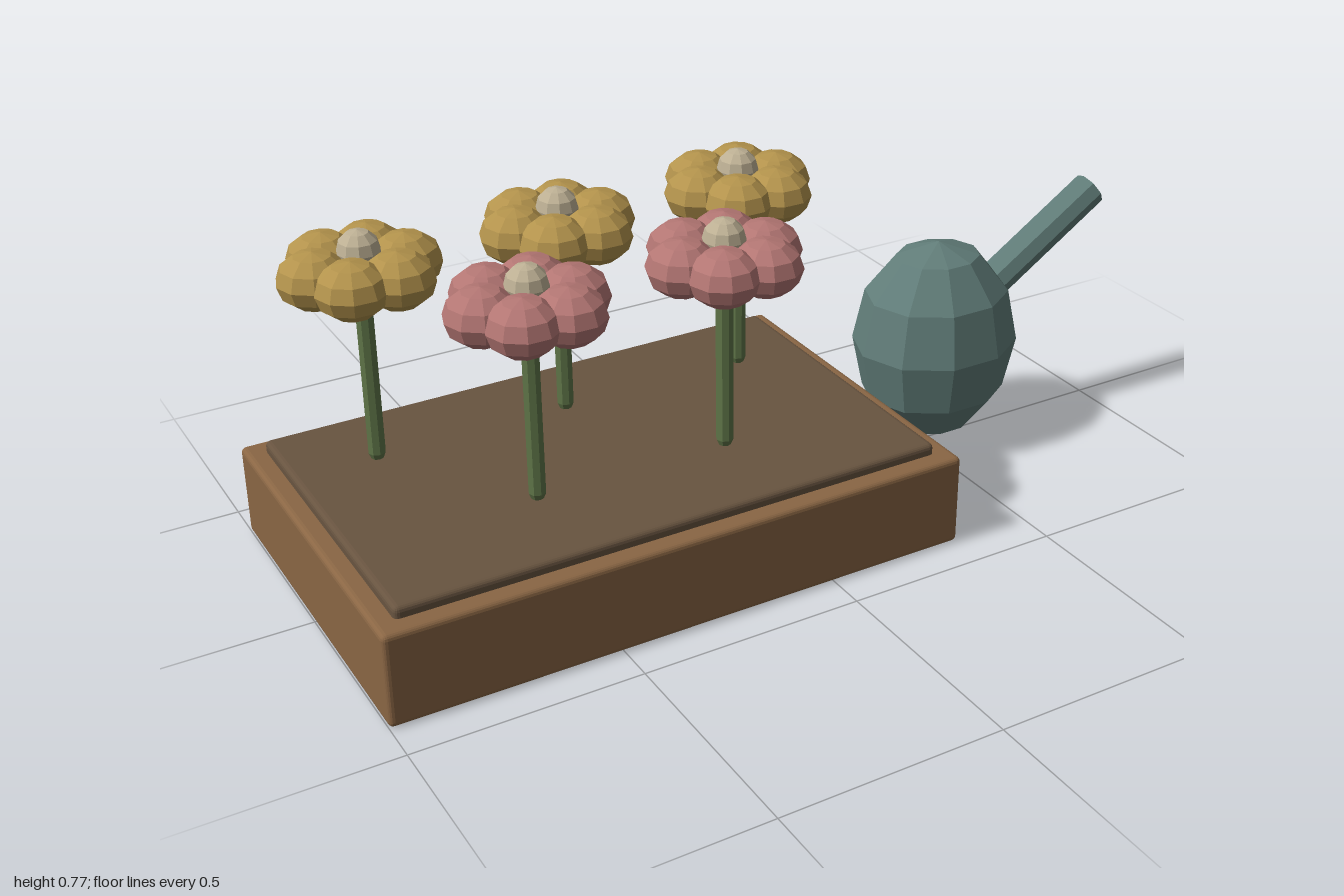
import * as THREE from 'three';
import { RoundedBoxGeometry } from 'three/addons/geometries/RoundedBoxGeometry.js';

const paint = (color) => new THREE.MeshStandardMaterial({ color, flatShading: true });
const wood = paint(0x8a6644), earth = paint(0x685440), green = paint(0x5f7548);
const gold = paint(0xb3934c), pink = paint(0xb37673), cream = paint(0xbdb094), metal = paint(0x617d79);

function add(parent, name, geometry, material, x, y, z) {
  const mesh = new THREE.Mesh(geometry, material);
  mesh.name = name;
  mesh.position.set(x, y, z);
  parent.add(mesh);
  return mesh;
}

// Stem, ring of six squashed petals and a round centre
const stemGeometry = new THREE.CapsuleGeometry(0.019, 0.41, 2, 8);
const petalGeometry = new THREE.SphereGeometry(1, 10, 6).scale(0.078, 0.061, 0.078);
const centreGeometry = new THREE.SphereGeometry(0.046, 10, 6);

function createFlower(petalMaterial, x, z) {
  const flower = new THREE.Group();
  flower.name = 'flower';
  flower.position.set(x, 0, z);
  add(flower, 'stem', stemGeometry, green, 0, 0.465, 0);
  for (let i = 0; i < 6; i++) {
    const a = (i * Math.PI) / 3;
    add(flower, 'petal', petalGeometry, petalMaterial, Math.cos(a) * 0.097, 0.68, Math.sin(a) * 0.097);
  }
  add(flower, 'flowerCentre', centreGeometry, cream, 0, 0.722, 0);
  return flower;
}

export function createModel() {
  const model = new THREE.Group();
  model.name = 'flowerBed';

  // Planter box with a raised slab of soil
  add(model, 'planterBox', new RoundedBoxGeometry(1.32, 0.21, 0.83, 2, 0.012), wood, -0.34, 0.105, 0);
  add(model, 'soil', new RoundedBoxGeometry(1.235, 0.06, 0.745, 2, 0.012), earth, -0.34, 0.205, 0);

  // Back row of three, front row of two
  for (const x of [-0.78, -0.34, 0.1]) model.add(createFlower(gold, x, -0.16));
  for (const x of [-0.56, -0.12]) model.add(createFlower(pink, x, 0.16));

  // Watering can: faceted egg body and a slanted spout
  const can = new THREE.Group();
  can.name = 'wateringCan';
  can.position.set(0.54, 0.265, 0);
  add(can, 'canBody', new THREE.SphereGeometry(1, 10, 6).scale(0.2, 0.245, 0.174), metal, 0, 0, 0);
  const tilt = 0.575, length = 0.36;
  const spout = add(can, 'spout', new THREE.CylinderGeometry(0.041, 0.041, length, 8), metal,
    0.438 - (Math.cos(tilt) * length) / 2, 0.286 - (Math.sin(tilt) * length) / 2, 0);
  spout.rotation.z = tilt - Math.PI / 2;
  model.add(can);

  return model;
}
